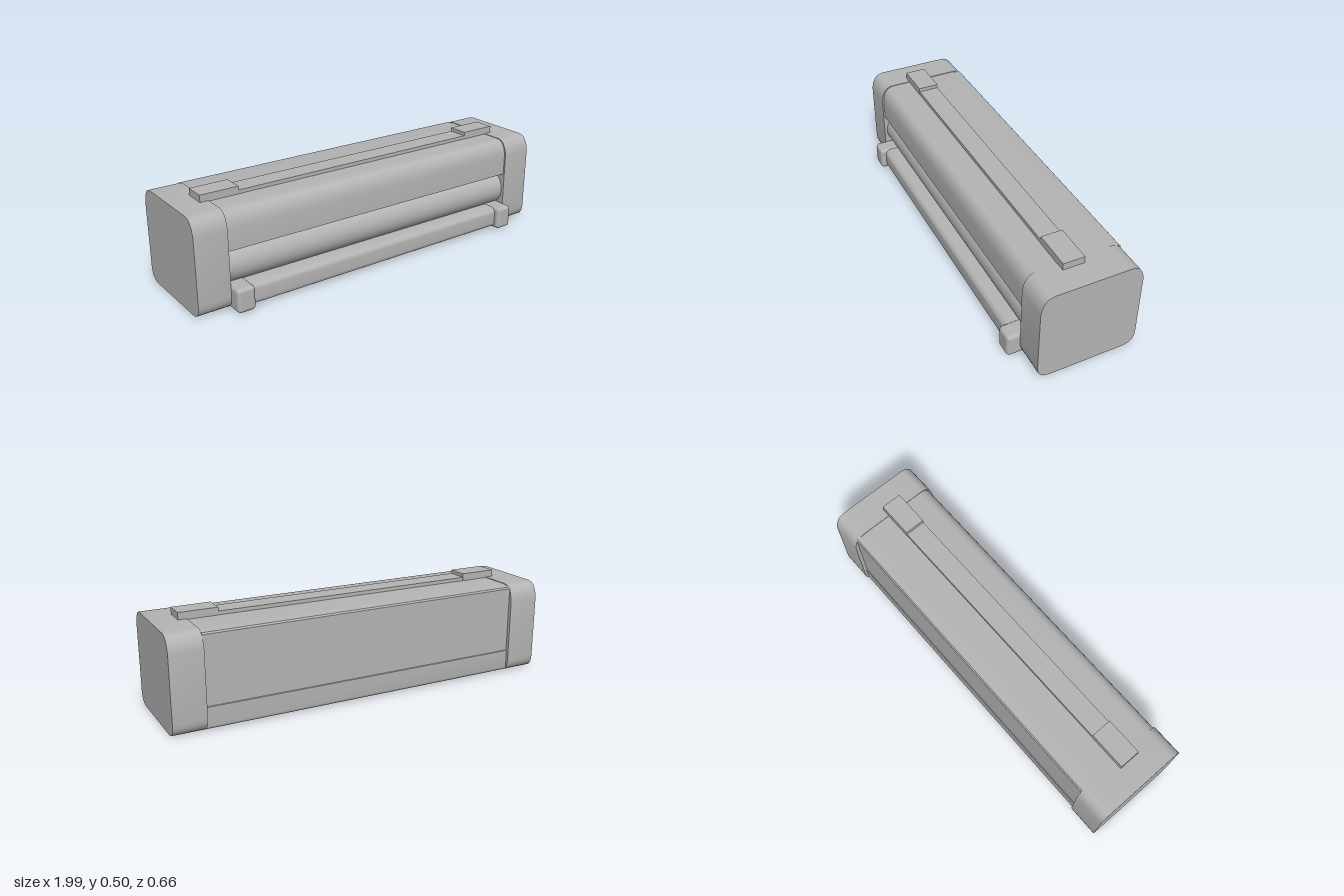
import * as THREE from 'three';
import { toCreasedNormals } from 'three/addons/utils/BufferGeometryUtils.js';
import { RoundedBoxGeometry } from 'three/addons/geometries/RoundedBoxGeometry.js';

export function createModel() {
  const grey = new THREE.MeshStandardMaterial({ color: 0xb4b4b4 });
  grey.name = 'casing grey';

  const model = new THREE.Group();
  model.name = 'desktopUnit';
  // the whole unit stands at a slight angle
  const unit = new THREE.Group();
  unit.name = 'unit';
  unit.rotation.y = -0.0615;
  unit.position.z = -0.028;
  model.add(unit);

  const add = (name, geometry, x = 0, y = 0, z = 0) => {
    const mesh = new THREE.Mesh(geometry, grey);
    mesh.name = name;
    mesh.position.set(x, y, z);
    unit.add(mesh);
    return mesh;
  };

  // extrude a (z, y) profile along x, centred on x = 0
  const alongX = (shape, length) => {
    const g = new THREE.ExtrudeGeometry(shape, { depth: length, bevelEnabled: false, curveSegments: 6 });
    g.translate(0, 0, -length / 2);
    g.rotateY(-Math.PI / 2);
    return toCreasedNormals(g, 0.6);
  };

  // rounded end caps
  const cap = new THREE.Shape();
  cap.moveTo(-0.18, 0);
  cap.lineTo(0.18, 0);
  cap.quadraticCurveTo(0.246, 0, 0.246, 0.065);
  cap.lineTo(0.246, 0.385);
  cap.quadraticCurveTo(0.236, 0.466, 0.18, 0.466);
  cap.lineTo(-0.18, 0.466);
  cap.quadraticCurveTo(-0.236, 0.466, -0.246, 0.385);
  cap.lineTo(-0.246, 0.065);
  cap.quadraticCurveTo(-0.246, 0, -0.18, 0);
  const capGeometry = alongX(cap, 0.16);
  for (const side of [-1, 1]) add(side > 0 ? 'leftEndCap' : 'rightEndCap', capGeometry, side * 0.904);

  // main housing with an open slot in the front and a recessed rear panel
  const body = new THREE.Shape();
  body.moveTo(-0.19, 0.004);
  body.lineTo(0.2, 0.004);
  body.lineTo(0.2, 0.06);
  body.lineTo(0.13, 0.1);
  body.lineTo(0.13, 0.28);
  body.lineTo(0.238, 0.28);
  body.lineTo(0.238, 0.385);
  body.quadraticCurveTo(0.23, 0.463, 0.175, 0.463);
  body.lineTo(-0.17, 0.463);
  body.lineTo(-0.222, 0.456);
  body.lineTo(-0.228, 0.448);
  body.lineTo(-0.228, 0.117);
  body.lineTo(-0.232, 0.115);
  body.lineTo(-0.232, 0.025);
  body.quadraticCurveTo(-0.232, 0.004, -0.19, 0.004);
  add('housing', alongX(body, 1.65));

  // rounded roller in the slot
  const roller = new THREE.CylinderGeometry(0.095, 0.095, 1.65, 40);
  roller.rotateZ(Math.PI / 2);
  add('roller', roller, 0, 0.187, 0.137);

  // front bar and its two clips
  const bar = new THREE.Shape();
  bar.moveTo(0.16, 0.012);
  bar.lineTo(0.255, 0.012);
  bar.quadraticCurveTo(0.28, 0.012, 0.28, 0.035);
  bar.lineTo(0.28, 0.085);
  bar.quadraticCurveTo(0.28, 0.112, 0.25, 0.115);
  bar.lineTo(0.16, 0.115);
  add('frontBar', alongX(bar, 1.6));
  const clip = new RoundedBoxGeometry(0.09, 0.117, 0.12, 3, 0.018);
  for (const side of [-1, 1]) add(side > 0 ? 'leftClip' : 'rightClip', clip, side * 0.78, 0.062, 0.248);

  // top strip with a raised pad at each end
  add('topStrip', new THREE.BoxGeometry(1.36, 0.02, 0.103), 0, 0.471, 0.028);
  const pad = new THREE.BoxGeometry(0.19, 0.04, 0.105);
  for (const side of [-1, 1]) add(side > 0 ? 'leftPad' : 'rightPad', pad, side * 0.77, 0.48, 0.028);

  return model;
}
